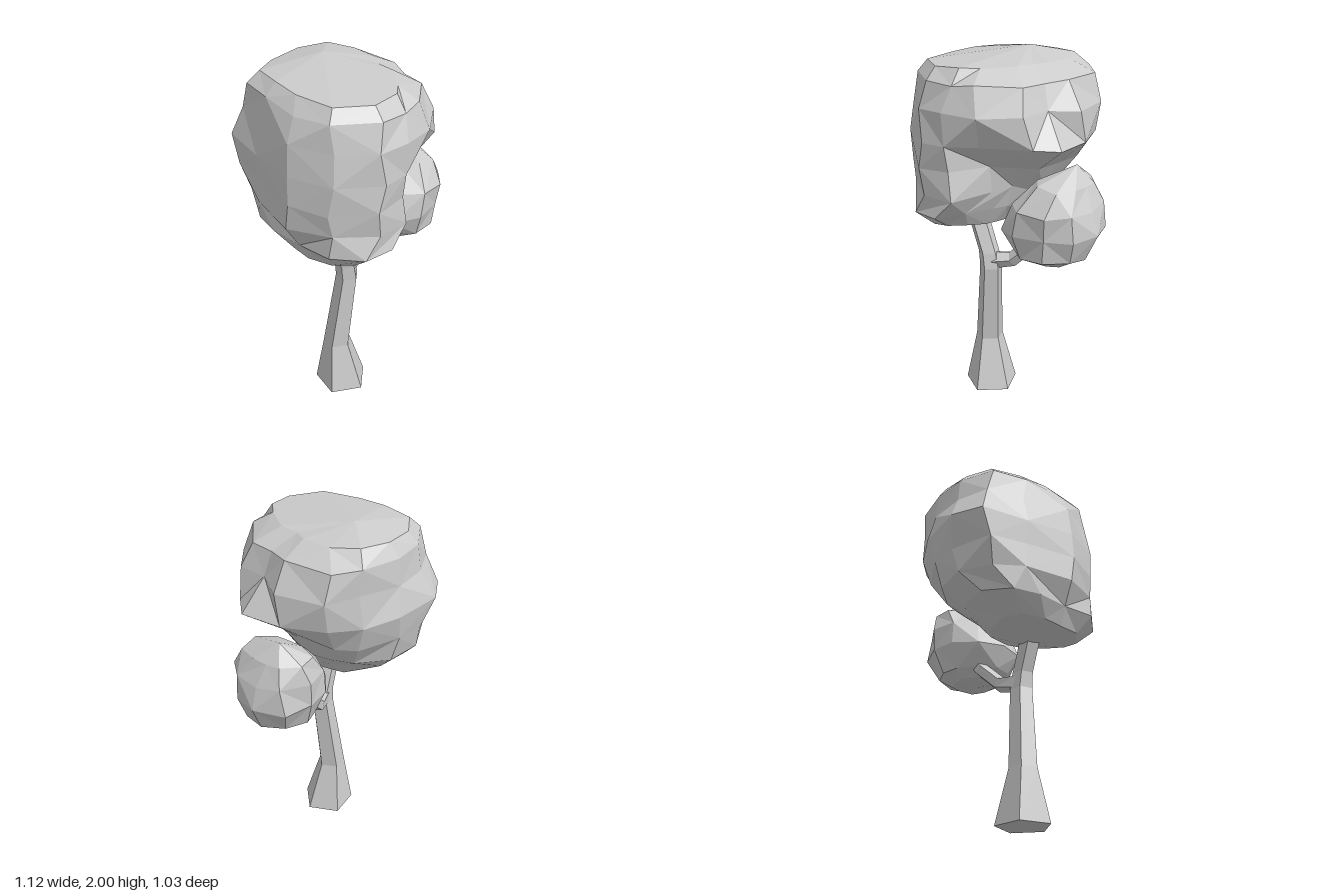
import * as THREE from 'three';

const material = new THREE.MeshStandardMaterial({ color: 0xcccccc, flatShading: true });

// Small seeded generator, returns -1..1
function seeded(seed) {
  let s = seed;
  return () => {
    s = (s * 16807) % 2147483647;
    return (s / 2147483647) * 2 - 1;
  };
}

// Skin a stack of rings (lowest first) and close both ends with a fan
function loft(name, rings, bottom, top) {
  const pos = [];
  const tri = (...points) => points.forEach((p) => pos.push(p.x, p.y, p.z));
  const n = rings[0].length;
  const last = rings[rings.length - 1];
  for (let j = 0; j < n; j++) {
    const k = (j + 1) % n;
    tri(bottom, rings[0][j], rings[0][k]);
    for (let i = 0; i < rings.length - 1; i++) {
      const lo = rings[i], hi = rings[i + 1];
      // Alternate the diagonal so the facets look irregular
      if ((i + j) % 2) {
        tri(lo[j], hi[j], lo[k]);
        tri(lo[k], hi[j], hi[k]);
      } else {
        tri(lo[j], hi[k], lo[k]);
        tri(lo[j], hi[j], hi[k]);
      }
    }
    tri(last[j], top, last[k]);
  }
  const geometry = new THREE.BufferGeometry();
  geometry.setAttribute('position', new THREE.Float32BufferAttribute(pos, 3));
  geometry.computeVertexNormals();
  const mesh = new THREE.Mesh(geometry, material);
  mesh.name = name;
  return mesh;
}

// Five-sided limb; each section is [x, y, z, radius, tilt toward +x]
function limb(name, sections) {
  const rings = sections.map(([x, y, z, r, tilt = 0]) =>
    Array.from({ length: 5 }, (_, j) => {
      const a = Math.PI / 2 + (j * Math.PI * 2) / 5;
      const u = Math.cos(a) * r;
      return new THREE.Vector3(x + u * Math.cos(tilt), y - u * Math.sin(tilt), z + Math.sin(a) * r);
    }));
  const centre = (s) => new THREE.Vector3(s[0], s[1], s[2]);
  return loft(name, rings, centre(sections[0]), centre(sections[sections.length - 1]));
}

// Faceted foliage; angles run in degrees from +x round through +z and
// each layer is [y, x, z, one radius per angle]
function foliage(name, angles, layers, { jitter, seed, bottom, top }) {
  const random = seeded(seed);
  const rings = layers.map(([y, x, z, radii]) =>
    radii.map((radius, j) => {
      const a = THREE.MathUtils.degToRad(angles[j] + random() * 3);
      const r = radius + random() * jitter;
      return new THREE.Vector3(x + Math.cos(a) * r, y + random() * jitter * 1.5, z + Math.sin(a) * r);
    }));
  return loft(name, rings, new THREE.Vector3(...bottom), new THREE.Vector3(...top));
}

export function createModel() {
  const tree = new THREE.Group();
  tree.name = 'tree';

  // Flared trunk leaning into the main limb
  tree.add(limb('trunk', [
    [-0.145, 0, 0.09, 0.154],
    [-0.165, 0.3, 0.075, 0.08],
    [-0.122, 0.77, 0.115, 0.065],
    [-0.135, 0.86, 0.115, 0.06],
    [-0.2, 1.04, 0.11, 0.06],
    [-0.21, 1.12, 0.11, 0.055],
  ]));

  // Side branch carrying the small crown
  tree.add(limb('branch', [
    [-0.12, 0.81, 0.11, 0.055, 1.45],
    [0, 0.828, 0.07, 0.044, 1.1],
    [0.125, 0.945, 0.05, 0.042, 0.8],
    [0.23, 1.05, 0.06, 0.04, 0.8],
  ]));

  // Large crown: a front lobe, a shelf over a deep undercut, a bulge at the back right
  tree.add(foliage('largeCrown', [5, 25, 44, 73, 92, 112, 140, 170, 205, 234, 258, 287, 315, 336], [
    [1.06, -0.22, 0.08, [0.18, 0.16, 0.16, 0.22, 0.27, 0.29, 0.26, 0.21, 0.22, 0.26, 0.27, 0.24, 0.21, 0.19]],
    [1.16, -0.2, 0.05, [0.26, 0.22, 0.2, 0.3, 0.44, 0.44, 0.38, 0.29, 0.31, 0.37, 0.39, 0.35, 0.29, 0.27]],
    [1.28, -0.1, 0, [0.26, 0.22, 0.2, 0.24, 0.49, 0.52, 0.49, 0.45, 0.42, 0.45, 0.44, 0.39, 0.32, 0.28]],
    [1.42, -0.1, 0, [0.37, 0.34, 0.29, 0.27, 0.49, 0.53, 0.51, 0.46, 0.42, 0.5, 0.47, 0.44, 0.42, 0.4]],
    [1.57, -0.1, 0, [0.53, 0.58, 0.53, 0.43, 0.51, 0.53, 0.51, 0.46, 0.43, 0.54, 0.53, 0.48, 0.47, 0.5]],
    [1.74, -0.1, 0, [0.52, 0.44, 0.52, 0.51, 0.51, 0.52, 0.49, 0.44, 0.4, 0.47, 0.45, 0.43, 0.46, 0.53]],
    [1.88, -0.1, 0, [0.43, 0.4, 0.45, 0.46, 0.46, 0.48, 0.46, 0.39, 0.36, 0.43, 0.42, 0.42, 0.47, 0.49]],
    [1.95, -0.1, 0, [0.3, 0.26, 0.3, 0.36, 0.4, 0.43, 0.4, 0.32, 0.31, 0.37, 0.37, 0.37, 0.39, 0.34]],
  ], { jitter: 0.008, seed: 71, bottom: [-0.2, 1.01, 0.09], top: [-0.02, 2, -0.14] }));

  // Small crown on the branch, pointed toward the outside
  tree.add(foliage('smallCrown', [0, 36, 72, 108, 144, 180, 216, 252, 288, 324], [
    [0.925, 0.28, 0.13, [0.13, 0.12, 0.13, 0.13, 0.13, 0.13, 0.12, 0.13, 0.13, 0.13]],
    [0.97, 0.28, 0.12, [0.21, 0.21, 0.23, 0.22, 0.21, 0.21, 0.18, 0.18, 0.19, 0.2]],
    [1.1, 0.28, 0.12, [0.28, 0.26, 0.25, 0.27, 0.28, 0.26, 0.25, 0.24, 0.25, 0.28]],
    [1.24, 0.3, 0.13, [0.23, 0.23, 0.25, 0.26, 0.23, 0.2, 0.21, 0.24, 0.26, 0.26]],
    [1.36, 0.34, 0.1, [0.13, 0.14, 0.2, 0.19, 0.14, 0.12, 0.13, 0.18, 0.19, 0.15]],
  ], { jitter: 0.008, seed: 23, bottom: [0.28, 0.91, 0.13], top: [0.39, 1.45, 0.06] }));

  return tree;
}
